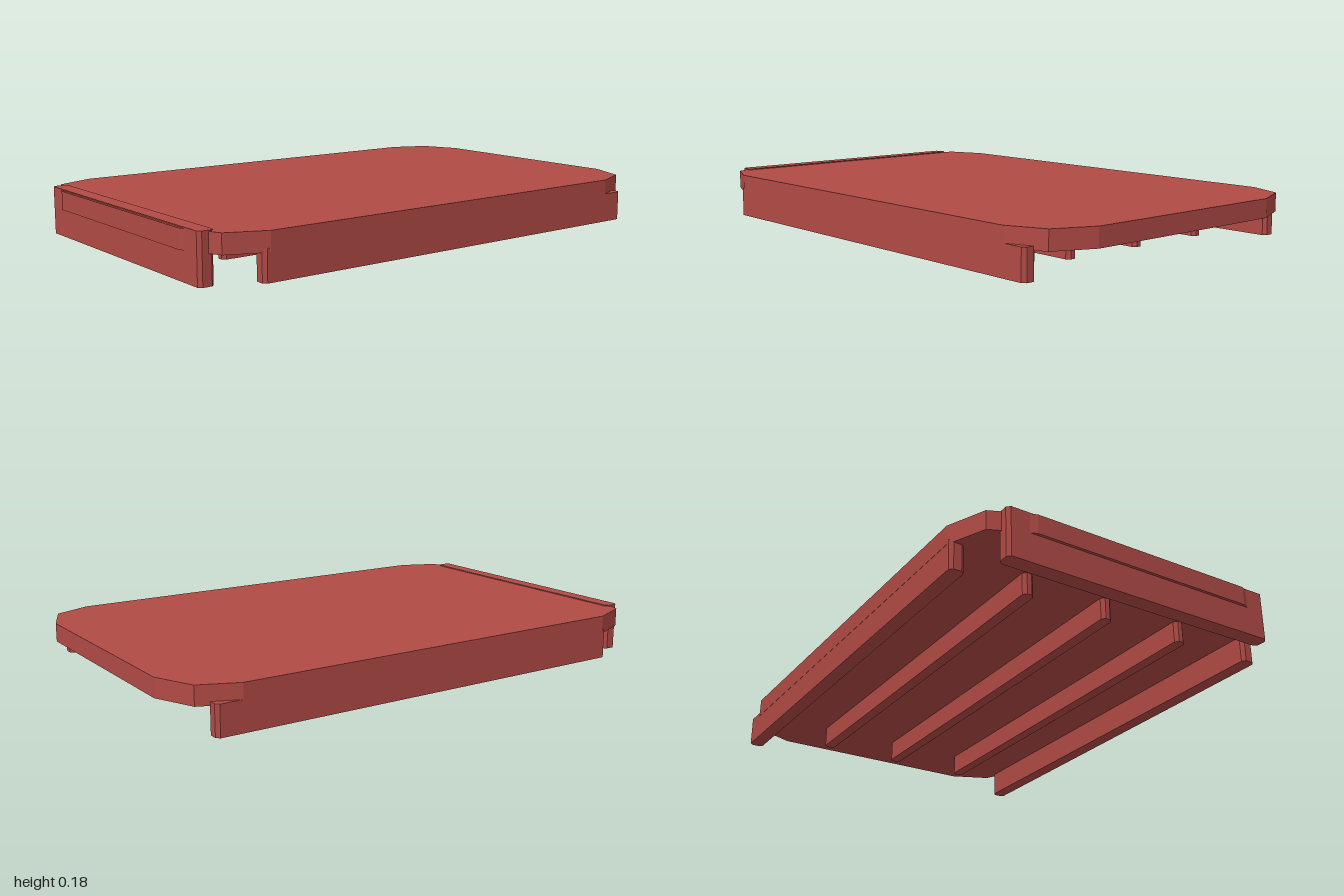
import * as THREE from 'three';

const red = new THREE.MeshStandardMaterial({ color: 0xb04a45 });
red.name = 'brick red';

// Extrude a plan outline of [x, z] points from y0 up to y1
function slab(name, points, y0, y1) {
  const shape = new THREE.Shape(points.map(([x, z]) => new THREE.Vector2(x, -z)));
  const geometry = new THREE.ExtrudeGeometry(shape, { depth: y1 - y0, bevelEnabled: false });
  geometry.rotateX(-Math.PI / 2);
  geometry.translate(0, y0, 0);
  const mesh = new THREE.Mesh(geometry, red);
  mesh.name = name;
  return mesh;
}

// Upright bar with small chamfers on its vertical corners
function bar(name, x0, x1, z0, z1, y0, y1, c = 0.012) {
  return slab(name, [
    [x0 + c, z0], [x1 - c, z0], [x1, z0 + c], [x1, z1 - c],
    [x1 - c, z1], [x0 + c, z1], [x0, z1 - c], [x0, z0 + c],
  ], y0, y1);
}

export function createModel() {
  const group = new THREE.Group();
  group.name = 'lid';

  // Main panel with faceted corners
  const corner = [[1, 0.43], [0.935, 0.58], [0.795, 0.64]];
  const back = [...corner].reverse();
  group.add(slab('panel', [
    ...corner,
    ...back.map(([x, z]) => [-x, z]),
    ...corner.map(([x, z]) => [-x, -z]),
    ...back.map(([x, z]) => [x, -z]),
  ], 0.105, 0.175));

  // Long rails under the front and back edges
  group.add(bar('frontRail', -0.82, 0.89, 0.585, 0.639, 0.008, 0.119));
  group.add(bar('backRail', -0.82, 0.89, -0.639, -0.585, 0.008, 0.119));

  // Full-height rail along one short end, just proud of the panel
  group.add(bar('endRail', -0.99, -0.932, -0.535, 0.535, 0, 0.179));

  // Stiffening ribs below the panel
  for (const z of [-0.32, 0, 0.323]) {
    group.add(bar('rib', -0.785, 0.785, z - 0.021, z + 0.021, 0.025, 0.11));
  }
  return group;
}
